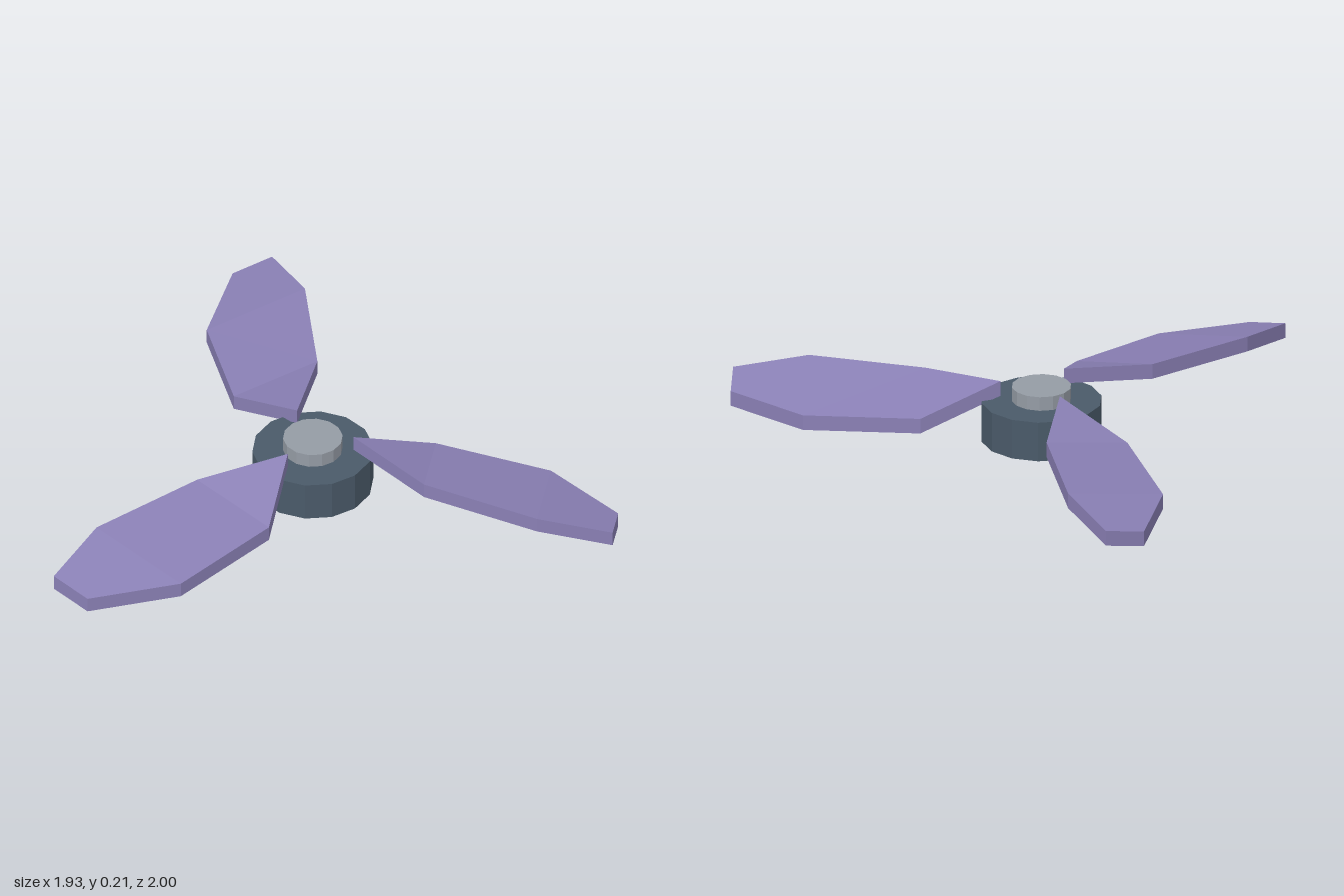
import * as THREE from 'three';

const THICKNESS = 0.056;
// Blade cross-sections: x, raised edge z and top y, lowered edge z and top y
const STATIONS = [
  [0.145, 0, 0.214, 0, 0.214],
  [0.422, 0.192, 0.178, -0.128, 0.116],
  [0.842, 0.318, 0.164, -0.058, 0.09],
  [1.11, 0.303, 0.118, 0.152, 0.088],
];

function bladeGeometry() {
  const rings = STATIONS.map(([x, zHigh, yHigh, zLow, yLow]) => [
    new THREE.Vector3(x, yHigh, zHigh),
    new THREE.Vector3(x, yLow, zLow),
    new THREE.Vector3(x, yLow - THICKNESS, zLow),
    new THREE.Vector3(x, yHigh - THICKNESS, zHigh),
  ]);
  const points = [];
  const triangle = (a, b, c) => {
    if (new THREE.Triangle(a, b, c).getArea() > 1e-6) points.push(a, b, c);
  };
  const quad = (a, b, c, d) => { triangle(a, b, c); triangle(a, c, d); };
  for (let i = 0; i < rings.length - 1; i++) {
    for (let j = 0; j < 4; j++) {
      const k = (j + 1) % 4;
      quad(rings[i][j], rings[i + 1][j], rings[i + 1][k], rings[i][k]);
    }
  }
  // Outer end of the blade
  const end = rings[rings.length - 1];
  quad(end[0], end[3], end[2], end[1]);
  const geometry = new THREE.BufferGeometry().setFromPoints(points);
  geometry.computeVertexNormals();
  return geometry;
}

export function createModel() {
  const model = new THREE.Group();
  model.name = 'propeller';
  const rotor = new THREE.Group();
  rotor.name = 'rotor';
  rotor.position.set(-0.145, 0, 0.115);
  model.add(rotor);

  const paint = (color) => new THREE.MeshStandardMaterial({ color, flatShading: true });
  const add = (name, geometry, material, y = 0) => {
    const mesh = new THREE.Mesh(geometry, material);
    mesh.name = name;
    mesh.position.y = y;
    rotor.add(mesh);
    return mesh;
  };

  // Hub drum and the smaller cap on top of it
  add('hub', new THREE.CylinderGeometry(0.215, 0.215, 0.148, 14), paint(0x4a5a69), 0.074);
  add('hubCap', new THREE.CylinderGeometry(0.106, 0.106, 0.052, 14), paint(0x959ca5), 0.174);

  // Three pitched blades around the hub
  const geometry = bladeGeometry();
  const purple = paint(0x8a80b5);
  for (let i = 0; i < 3; i++) {
    add(`blade${i + 1}`, geometry, purple).rotation.y = (i * Math.PI * 2) / 3;
  }
  return model;
}
